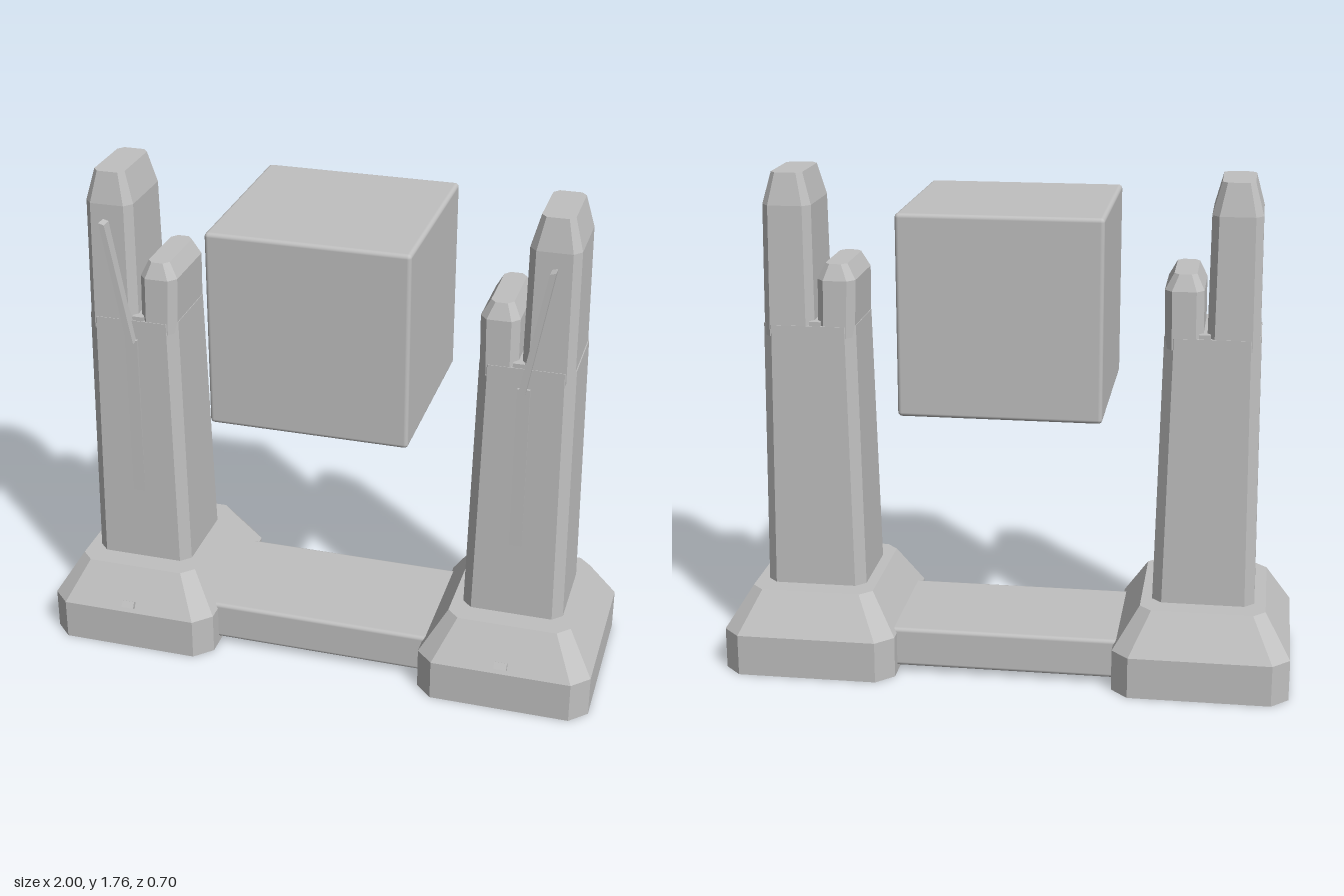
import * as THREE from 'three';
import { ConvexGeometry } from 'three/addons/geometries/ConvexGeometry.js';
import { RoundedBoxGeometry } from 'three/addons/geometries/RoundedBoxGeometry.js';

const stone = new THREE.MeshStandardMaterial({ color: 0xc0c0c0 });
stone.name = 'grey stone';

function add(parent, name, geometry) {
  const mesh = new THREE.Mesh(geometry, stone);
  mesh.name = name;
  parent.add(mesh);
  return mesh;
}

// Stacked rectangles with cut corners, each [y, xInner, xOuter, halfDepth, chamferX, chamferZ];
// side is +1 for the left tower and -1 for the right one.
function block(side, sections) {
  const points = [];
  for (const [y, x0, x1, d, cx, cz] of sections) {
    for (const f of [-1, 1]) {
      for (const [x, z] of [[x0, d - cz], [x0 + cx, d], [x1 - cx, d], [x1, d - cz]]) {
        points.push(new THREE.Vector3(side * x, y, f * z));
      }
    }
  }
  return new ConvexGeometry(points);
}

function tower(name, side) {
  const g = new THREE.Group();
  g.name = name;

  // Wide foot with a sloping top
  add(g, 'foot', block(side, [
    [0, 0.385, 1, 0.345, 0.06, 0.06],
    [0.148, 0.385, 1, 0.345, 0.06, 0.06],
    [0.293, 0.475, 0.91, 0.255, 0.042, 0.042],
  ]));

  // Tapering shaft
  add(g, 'shaft', block(side, [
    [0.29, 0.513, 0.87, 0.176, 0.034, 0.034],
    [1.24, 0.532, 0.858, 0.159, 0.034, 0.034],
  ]));

  // Tall outer and short inner pillars, parted by a narrow slot
  add(g, 'tallPillar', block(side, [
    [1.2, 0.677, 0.855, 0.158, 0.025, 0.03],
    [1.655, 0.68, 0.85, 0.146, 0.025, 0.03],
    [1.765, 0.71, 0.82, 0.124, 0.018, 0.022],
  ]));
  add(g, 'shortPillar', block(side, [
    [1.2, 0.535, 0.665, 0.158, 0.025, 0.03],
    [1.4, 0.53, 0.663, 0.152, 0.025, 0.03],
    [1.455, 0.56, 0.637, 0.13, 0.018, 0.022],
  ]));
  add(g, 'slotFloor', new THREE.BoxGeometry(0.04, 0.055, 0.312))
    .position.set(side * 0.67, 1.2275, 0);

  // Upright rail on the front, sinking into the shaft near its foot
  add(g, 'rail', new THREE.BoxGeometry(0.043, 0.62, 0.03))
    .position.set(side * 0.693, 0.86, 0.156);

  // Slanted arm above the rail
  const arm = [];
  for (const [x, y] of [[0.678, 1.165], [0.702, 1.165], [0.78, 1.603], [0.76, 1.597]]) {
    for (const z of [0.135, 0.19]) arm.push(new THREE.Vector3(side * x, y, z));
  }
  add(g, 'slantedArm', new ConvexGeometry(arm));

  // Small catch on the front of the foot
  const catchBox = add(g, 'catch', new THREE.BoxGeometry(0.045, 0.025, 0.025));
  catchBox.position.set(side * 0.692, 0.175, 0.334);
  catchBox.rotation.x = -0.6;
  return g;
}

export function createModel() {
  const model = new THREE.Group();
  model.name = 'towerGate';
  model.add(tower('leftTower', 1), tower('rightTower', -1));

  // Bar joining the feet
  add(model, 'crossBar', new RoundedBoxGeometry(0.84, 0.143, 0.47, 2, 0.014))
    .position.set(0, 0.094, -0.006);

  // Cube floating between the towers
  add(model, 'floatingCube', new RoundedBoxGeometry(0.69, 0.69, 0.69, 3, 0.014))
    .position.set(0, 1.33, 0);
  return model;
}
